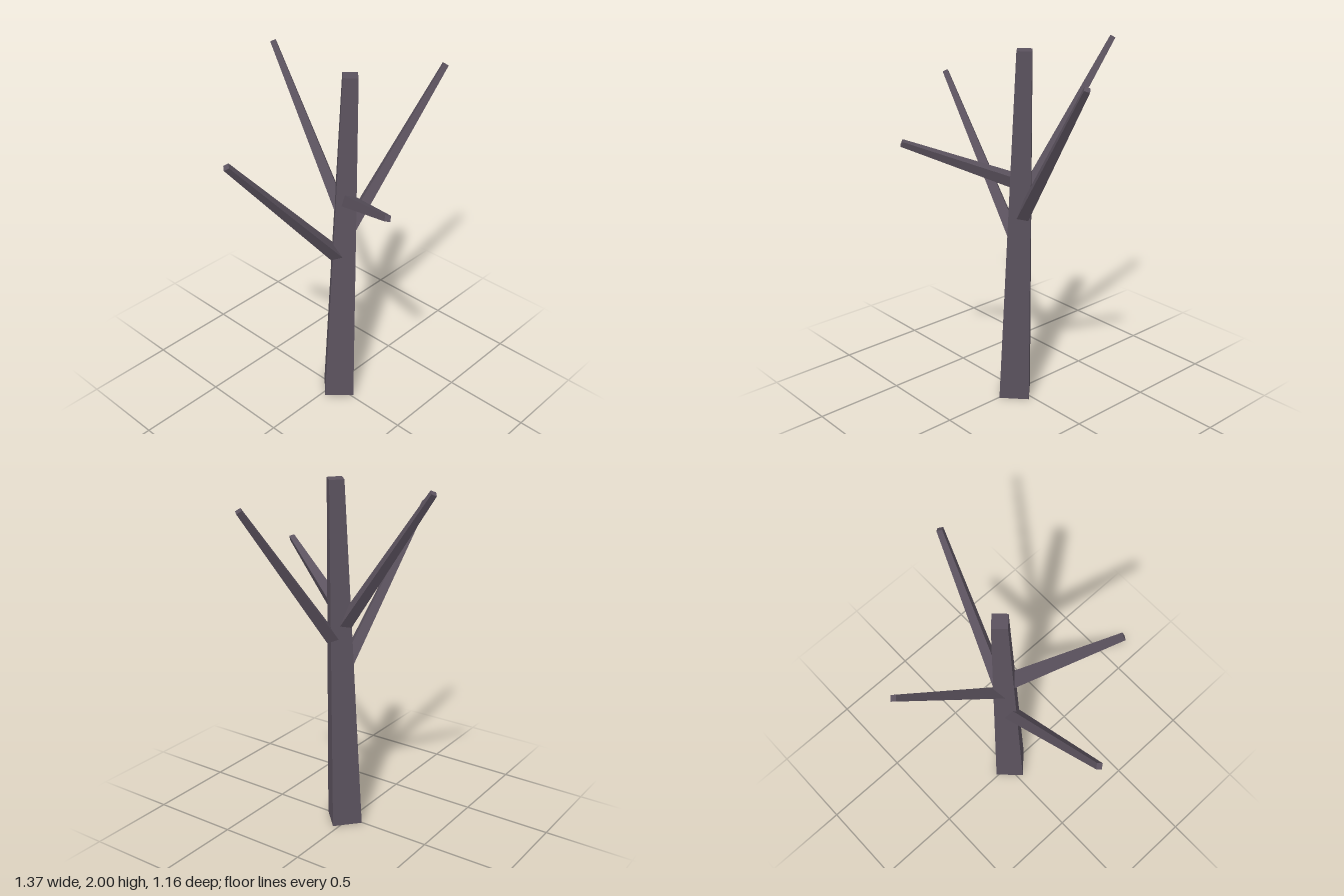
import * as THREE from 'three';

const bark = new THREE.MeshStandardMaterial({ color: 0x5b525e, flatShading: true });
bark.name = 'bark';

// Tapered four-sided limb running from one point to another
function limb(name, from, to, r0, r1) {
  const a = new THREE.Vector3(...from);
  const b = new THREE.Vector3(...to);
  const dir = b.clone().sub(a);
  const length = dir.length();
  const geo = new THREE.CylinderGeometry(r1, r0, length, 4);
  geo.translate(0, length / 2, 0);
  const mesh = new THREE.Mesh(geo, bark);
  mesh.name = name;
  mesh.position.copy(a);
  mesh.quaternion.setFromUnitVectors(new THREE.Vector3(0, 1, 0), dir.normalize());
  return mesh;
}

export function createModel() {
  const tree = new THREE.Group();
  tree.name = 'bareTree';

  // Slightly leaning trunk
  tree.add(limb('trunk', [0.01, 0.005, 0.03], [0.085, 1.985, 0.03], 0.118, 0.055));

  // Four bare branches growing out of the trunk's core
  tree.add(limb('rightBranch', [0.045, 0.9, 0.03], [-0.67, 1.745, -0.055], 0.045, 0.021));
  tree.add(limb('leftBranch', [0.048, 1.05, 0.03], [0.665, 1.905, 0.175], 0.045, 0.021));
  tree.add(limb('backBranch', [0.052, 1.16, 0.03], [0.13, 1.985, -0.565], 0.045, 0.021));
  tree.add(limb('frontBranch', [0.058, 1.28, 0.03], [-0.24, 1.537, 0.57], 0.045, 0.021));

  return tree;
}
